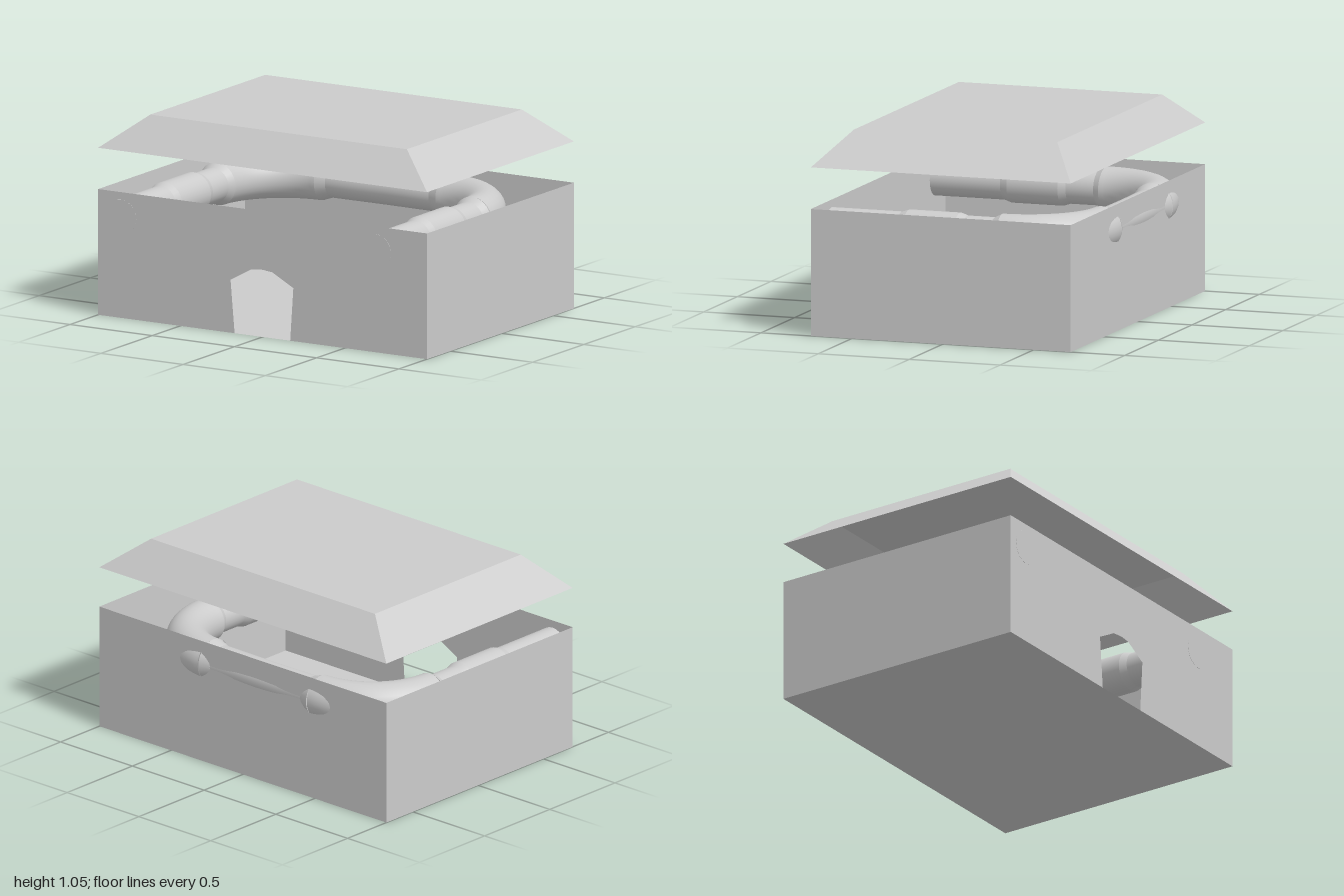
import * as THREE from 'three';

const mat = new THREE.MeshStandardMaterial({ color: 0xcccccc, side: THREE.DoubleSide });
const FRONT = 0.726, BACK = -0.703, HEIGHT = 0.664, PIPE_Y = 0.532;
const DEPTH = FRONT - BACK, MID = (FRONT + BACK) / 2;
const PIPE_R = 0.092, SLEEVE_R = 0.105, ELBOW_R = 0.113;

function add(parent, name, geometry, x = 0, y = 0, z = 0) {
  const mesh = new THREE.Mesh(geometry, mat);
  mesh.name = name;
  mesh.position.set(x, y, z);
  parent.add(mesh);
  return mesh;
}

// Thin open-topped box with a doorway in the front wall
function makeBox() {
  const box = new THREE.Group();
  box.name = 'openBox';
  const wall = new THREE.Shape([[-1, 0], [1, 0], [1, HEIGHT], [-1, HEIGHT]]
    .map(p => new THREE.Vector2(...p)));
  // the doorway reaches the floor, so it is cut from the outline
  const outline = [[-1, 0], [-0.17, 0], [-0.195, 0.28], [-0.07, 0.348], [0, 0.355], [0.06, 0.348],
    [0.187, 0.28], [0.168, 0], [1, 0], [1, HEIGHT], [-1, HEIGHT]];
  const front = new THREE.Shape(outline.map(p => new THREE.Vector2(...p)));
  add(box, 'frontWall', new THREE.ShapeGeometry(front), 0, 0, FRONT);
  add(box, 'backWall', new THREE.ShapeGeometry(wall), 0, 0, BACK).rotation.y = Math.PI;
  for (const s of [-1, 1]) {
    add(box, s > 0 ? 'leftWall' : 'rightWall', new THREE.PlaneGeometry(DEPTH, HEIGHT), s, HEIGHT / 2, MID)
      .rotation.y = s * Math.PI / 2;
  }
  add(box, 'floor', new THREE.PlaneGeometry(2, DEPTH), 0, 0, MID).rotation.x = Math.PI / 2;
  return box;
}

// Hollow lid: sloping sides and a flat top, open underneath
function makeLid() {
  const loop = (x, y, z0, z1) => [[-x, y, z1], [x, y, z1], [x, y, z0], [-x, y, z0]];
  const low = loop(1, 0.882, BACK, FRONT), top = loop(0.78, 1.054, -0.548, 0.57);
  const pos = [];
  const quad = (a, b, c, d) => pos.push(...a, ...b, ...c, ...a, ...c, ...d);
  for (let i = 0; i < 4; i++) {
    const j = (i + 1) % 4;
    quad(low[i], low[j], top[j], top[i]);
  }
  quad(...top);
  const geometry = new THREE.BufferGeometry();
  geometry.setAttribute('position', new THREE.Float32BufferAttribute(pos, 3));
  geometry.computeVertexNormals();
  return geometry;
}

// Round piece lying along z from z0 to z1
function rod(parent, name, x, z0, z1, r, rBack = r) {
  const g = new THREE.CylinderGeometry(r, rBack, z1 - z0, 28);
  g.rotateX(Math.PI / 2);
  add(parent, name, g, x, PIPE_Y, (z0 + z1) / 2);
}

// Pipe running from the front, around the back and to the front again
function makePipe() {
  const pipe = new THREE.Group();
  pipe.name = 'pipe';
  const bend = 0.4, bendZ = -0.212;
  const sides = [[1, 0.69], [-1, -0.86]];
  for (const [s, x] of sides) {
    const side = s > 0 ? 'left' : 'right';
    rod(pipe, side + 'Pipe', x, bendZ, FRONT + 0.001, PIPE_R);
    rod(pipe, side + 'Sleeve', x, 0.02, 0.3, SLEEVE_R);
    rod(pipe, side + 'SleeveFrontTaper', x, 0.3, 0.34, PIPE_R, SLEEVE_R);
    rod(pipe, side + 'SleeveBackTaper', x, -0.02, 0.02, SLEEVE_R, PIPE_R);

    // thicker elbow turning toward the back run
    const cx = x - s * bend;
    const arc = [];
    for (let i = 0; i <= 16; i++) {
      const a = i / 16 * Math.PI / 2;
      arc.push(new THREE.Vector3(cx + s * bend * Math.cos(a), PIPE_Y, bendZ - bend * Math.sin(a)));
    }
    add(pipe, side + 'Elbow', new THREE.TubeGeometry(new THREE.CatmullRomCurve3(arc), 28, ELBOW_R, 28));
    rod(pipe, side + 'ElbowCollar', x, bendZ, bendZ + 0.04, PIPE_R, ELBOW_R);
    // tapered collar where the elbow meets the back run
    const taper = new THREE.CylinderGeometry(PIPE_R, ELBOW_R, 0.06, 28);
    taper.rotateZ(s * Math.PI / 2);
    add(pipe, side + 'BackCollar', taper, cx - s * 0.03, PIPE_Y, bendZ - bend);
  }
  // slightly bowed back run just touching the wall
  const z = bendZ - bend;
  const run = new THREE.CatmullRomCurve3([[0.3, z], [0.15, z], [-0.085, z - 0.003], [-0.32, z], [-0.47, z]]
    .map(([x, pz]) => new THREE.Vector3(x, PIPE_Y, pz)));
  add(pipe, 'backPipe', new THREE.TubeGeometry(run, 20, PIPE_R, 28));
  return pipe;
}

export function createModel() {
  const model = new THREE.Group();
  model.name = 'boxWithPipe';
  model.add(makeBox());
  add(model, 'lid', makeLid());
  model.add(makePipe());
  return model;
}
